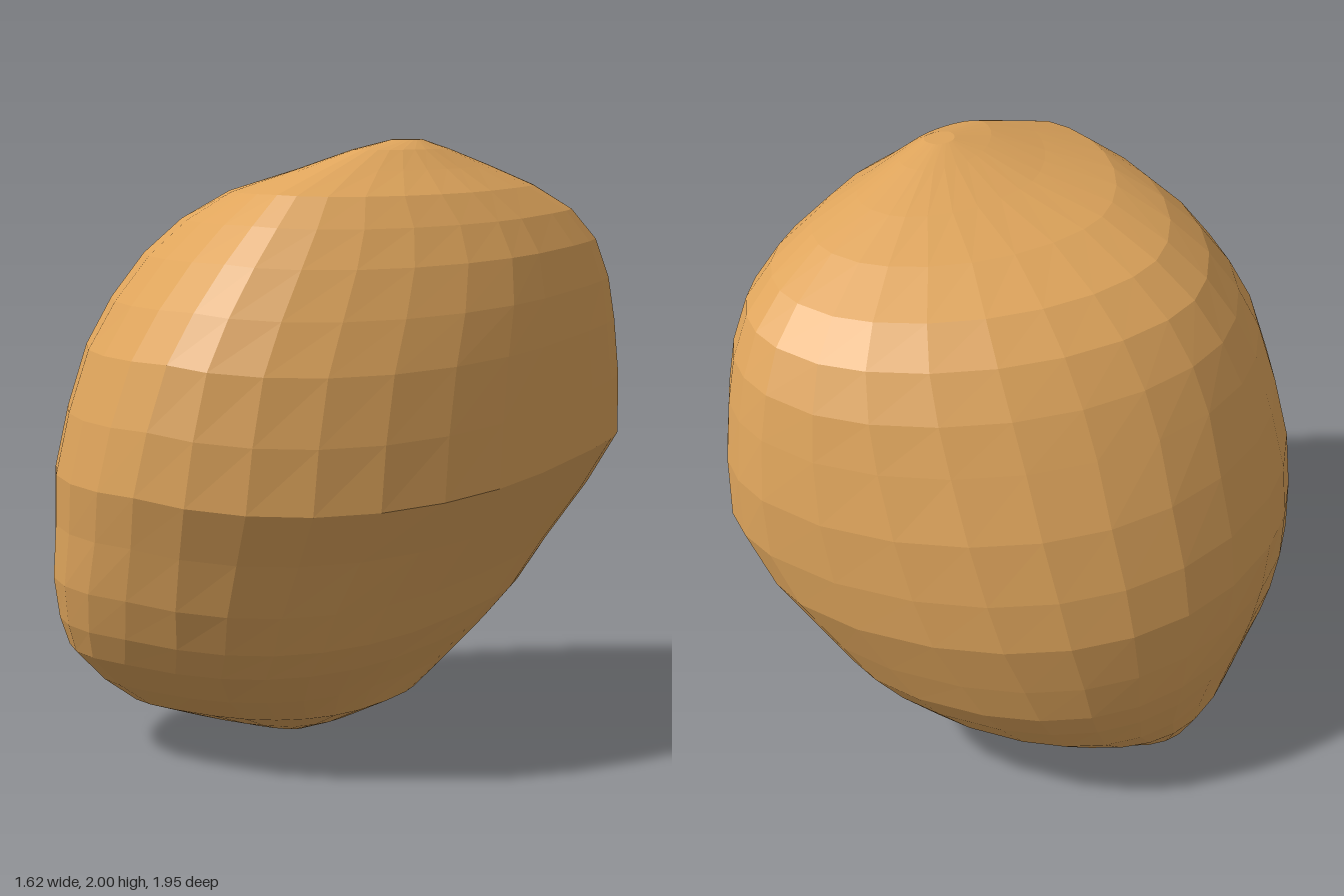
import * as THREE from 'three';

// Cross-sections from the base up:
// [height, left x, right x, back z, front z, x of front bulge, x of back bulge]
const SECTIONS = [
  [0.01, -0.42, -0.08, -0.12, 0.01, -0.25, -0.22],
  [0.05, -0.60, 0.04, -0.33, 0.14, -0.28, -0.18],
  [0.14, -0.66, 0.23, -0.49, 0.40, -0.28, -0.12],
  [0.24, -0.69, 0.31, -0.64, 0.57, -0.26, -0.05],
  [0.36, -0.73, 0.42, -0.75, 0.72, -0.23, 0.0],
  [0.46, -0.76, 0.50, -0.82, 0.79, -0.17, 0.04],
  [0.60, -0.79, 0.58, -0.88, 0.86, -0.11, 0.1],
  [0.78, -0.81, 0.70, -0.95, 0.92, -0.04, 0.17],
  [0.95, -0.79, 0.81, -0.97, 0.98, 0.02, 0.23],
  [1.15, -0.74, 0.81, -0.97, 0.975, 0.07, 0.27],
  [1.35, -0.68, 0.81, -0.94, 0.94, 0.12, 0.3],
  [1.50, -0.62, 0.80, -0.91, 0.86, 0.16, 0.31],
  [1.64, -0.53, 0.77, -0.85, 0.76, 0.2, 0.32],
  [1.75, -0.40, 0.71, -0.75, 0.66, 0.23, 0.32],
  [1.84, -0.20, 0.63, -0.57, 0.56, 0.25, 0.33],
  [1.91, 0.04, 0.53, -0.38, 0.38, 0.29, 0.33],
  [1.97, 0.22, 0.45, -0.18, 0.22, 0.33, 0.34],
  [2.00, 0.31, 0.40, -0.05, 0.05, 0.35, 0.35],
];
const SIDES = 28;
// Squareness of each quarter: front right, front left, back left, back right
const LOW = [2.45, 2.4, 2.45, 2.7];
const MIDDLE = [1.95, 1.85, 2.2, 3.3];
const HIGH = [1.6, 1.8, 1.7, 2.7];

function squareness(y, quarter) {
  const { lerp, smoothstep } = THREE.MathUtils;
  const lower = lerp(LOW[quarter], MIDDLE[quarter], smoothstep(y, 0.3, 0.9));
  return lerp(lower, HIGH[quarter], smoothstep(y, 0.9, 1.75));
}

// One point of a ring made of four rounded quarters joining its extreme points
function ringPoint([y, x0, x1, z0, z1, xf, xb], i) {
  const a = (i / SIDES) * Math.PI * 2;
  const quarter = Math.floor((i * 4) / SIDES) % 4;
  const c = Math.cos(a), s = Math.sin(a), e = 2 / squareness(y, quarter);
  const onRight = quarter === 0 || quarter === 3;
  const onFront = quarter < 2;
  const cx = onFront ? xf : xb;
  const cz = (z0 + z1) / 2 + (z1 - z0) * (onRight ? -0.05 : 0.02);
  const x = cx + ((onRight ? x1 : x0) - cx) * Math.abs(c) ** e;
  const z = cz + ((onFront ? z1 : z0) - cz) * Math.abs(s) ** e;
  // The bands rise toward the back on the +x flank
  const tilt = 0.1 * z * Math.max(0, c) * Math.sin((y * Math.PI) / 2);
  return [x, y - tilt, z];
}

function bodyGeometry() {
  const positions = [], index = [];
  for (const section of SECTIONS) {
    for (let i = 0; i < SIDES; i++) positions.push(...ringPoint(section, i));
  }
  const last = SECTIONS.length - 1;
  const base = SECTIONS.length * SIDES, crown = base + 1;
  positions.push(-0.25, 0, -0.02, 0.35, 2, 0);
  for (let i = 0; i < SIDES; i++) {
    const j = (i + 1) % SIDES;
    for (let r = 0; r < last; r++) {
      const a = r * SIDES + i, b = r * SIDES + j;
      index.push(a, a + SIDES, b, b, a + SIDES, b + SIDES);
    }
    index.push(base, i, j, crown, last * SIDES + j, last * SIDES + i);
  }
  const geometry = new THREE.BufferGeometry();
  geometry.setAttribute('position', new THREE.Float32BufferAttribute(positions, 3));
  geometry.setIndex(index);
  geometry.computeVertexNormals();
  return geometry;
}

export function createModel() {
  const group = new THREE.Group();
  group.name = 'lump';
  // Leaning, faceted body
  const body = new THREE.Mesh(
    bodyGeometry(),
    new THREE.MeshStandardMaterial({ color: 0xdfa55c, flatShading: true })
  );
  body.name = 'body';
  group.add(body);
  return group;
}
